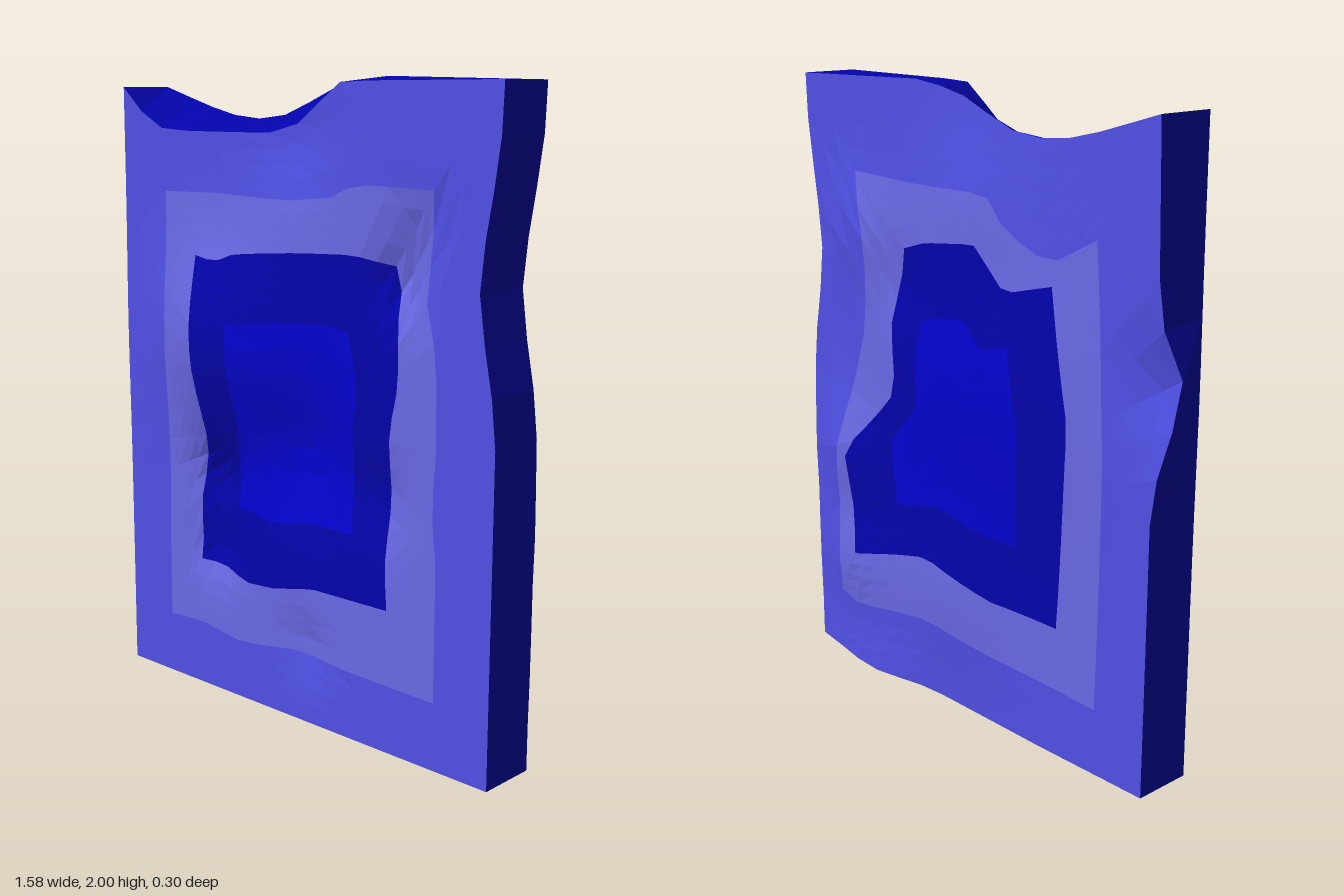
import * as THREE from 'three';

const N = 14; // segments along each side of a ring

// Rings run clockwise from the top left corner: top, right, bottom, left.
const frontOuter = [
  [[-.73, 1.968], [-.59, 1.845], [-.46, 1.835], [-.03, 1.835], [.1, 1.91], [.22, 1.985], [.787, 1.987]],
  [[.787, 1.987], [.78, 1.8], [.745, 1.62], [.72, 1.45], [.75, 1.25], [.787, 1.08], [.787, .027]],
  [[.787, .027], [-.73, .027]],
  [[-.73, .027], [-.73, 1.968]],
];
const backOuter = [
  [[-.73, 1.968], [-.6, 1.93], [-.46, 1.89], [-.33, 1.868], [-.18, 1.885], [.03, 1.97], [.2, 2], [.787, 1.987]],
  frontOuter[1],
  [[.787, .027], [.65, .014], [.5, 0], [.35, .012], [.2, .027], [-.3, .022], [-.73, .027]],
  [[-.73, .027], [-.735, .93], [-.78, 1.1], [-.792, 1.28], [-.745, 1.45], [-.73, 1.968]],
];
const frontBand = [
  [[-.53, 1.645], [-.3, 1.65], [0, 1.64], [.2, 1.66], [.27, 1.7], [.56, 1.695]],
  [[.56, 1.695], [.53, 1.4], [.58, 1.25], [.585, .95], [.57, .8], [.59, .65], [.59, .235]],
  [[.59, .235], [.2, .24], [0, .245], [-.2, .215], [-.4, .24], [-.54, .23]],
  [[-.54, .23], [-.54, .55], [-.53, .9], [-.52, 1.25], [-.53, 1.645]],
];
const frontInner = [
  [[-.37, 1.455], [-.28, 1.44], [-.2, 1.47], [.05, 1.49], [.27, 1.5], [.4, 1.475]],
  [[.4, 1.475], [.44, 1.28], [.445, 1.15], [.41, 1], [.4, .6], [.41, .47]],
  [[.41, .47], [.1, .465], [-.05, .43], [-.18, .42], [-.3, .45], [-.4, .45]],
  [[-.4, .45], [-.4, .7], [-.35, .9], [-.37, 1.1], [-.37, 1.455]],
];
const backBand = [
  [[-.52, 1.62], [-.345, 1.53], [-.18, 1.6], [-.1, 1.7], [.25, 1.69], [.53, 1.7]],
  [[.53, 1.7], [.475, 1.47], [.5, 1.2], [.58, .96], [.65, .74], [.65, .24]],
  [[.65, .24], [.55, .22], [.19, .28], [-.1, .25], [-.54, .235]],
  [[-.54, .235], [-.56, 1], [-.54, 1.4], [-.52, 1.62]],
];
const backInner = [
  [[-.36, 1.47], [-.18, 1.425], [-.055, 1.55], [.18, 1.52], [.29, 1.487]],
  [[.29, 1.487], [.355, 1.26], [.34, 1.02], [.59, .77], [.55, .41]],
  [[.55, .41], [.19, .5], [-.1, .44], [-.38, .44]],
  [[-.38, .44], [-.43, 1.08], [-.39, 1.3], [-.36, 1.47]],
];

// Bumps and dents: x, y, height along z, radius
const frontBumps = [[-.27, 1.2, .068, .27], [0, 1.84, -.035, .15], [.43, 1.43, -.05, .09], [.49, 1.56, -.03, .09],
  [.36, .8, -.025, .12], [-.32, .75, -.045, .12], [-.32, .52, -.035, .11], [.08, .27, -.02, .1], [.05, .86, -.045, .2]];
const backBumps = [[-.05, 1.15, -.046, .4], [.58, .75, -.036, .17], [.56, .38, -.034, .17], [.5, 0, -.022, .2],
  [-.02, 1.66, -.024, .2], [-.79, 1.25, .05, .13], [.52, 1.52, -.025, .15], [.3, 1.37, .02, .1], [.1, .4, -.028, .25]];
const relief = (base, bumps) => (x, y) => bumps.reduce(
  (z, [bx, by, h, r]) => z + h * Math.exp(-((x - bx) ** 2 + (y - by) ** 2) / (r * r)), base);
const frontZ = relief(.087, frontBumps);
const backZ = relief(-.102, backBumps);

// Sample each side of a ring evenly
function sample(sides) {
  return sides.flatMap((side) => {
    const path = new THREE.CurvePath();
    for (let i = 1; i < side.length; i++) {
      path.add(new THREE.LineCurve(new THREE.Vector2(...side[i - 1]), new THREE.Vector2(...side[i])));
    }
    return Array.from({ length: N }, (_, i) => path.getPointAt(i / N));
  });
}
const blend = (a, b, t) => a.map((p, i) => p.clone().lerp(b[i], t));
const lift = (ring, z) => ring.map((p) => new THREE.Vector3(p.x, p.y, z(p.x, p.y)));

// Join successive rings with quads
function loft(rings, flip) {
  const pos = [];
  const tri = (a, b, c) => (flip ? [a, c, b] : [a, b, c]).forEach((p) => pos.push(p.x, p.y, p.z));
  for (let k = 1; k < rings.length; k++) {
    const a = rings[k - 1], b = rings[k];
    a.forEach((p, i) => {
      const j = (i + 1) % a.length;
      tri(p, b[i], b[j]);
      tri(p, b[j], a[j]);
    });
  }
  const g = new THREE.BufferGeometry();
  g.setAttribute('position', new THREE.Float32BufferAttribute(pos, 3));
  g.computeVertexNormals();
  return g;
}

export function createModel() {
  const group = new THREE.Group();
  const material = (name, color) => {
    const m = new THREE.MeshStandardMaterial({ color, flatShading: true });
    m.name = name;
    return m;
  };
  const border = material('periwinkle blue', 0x5858fa);
  const band = material('pale blue', 0x7070f4);
  const deep = material('deep blue', 0x0404ac);
  const bright = material('bright blue', 0x0404d2);
  const add = (name, geometry, mat) => {
    const mesh = new THREE.Mesh(geometry, mat);
    mesh.name = name;
    group.add(mesh);
  };

  // Each face is a border, a band, a panel and a brighter core
  const face = (name, outlines, z, flip) => {
    const [o, m, c] = outlines.map(sample);
    const middle = c.map(() => new THREE.Vector2(.04, .97));
    const core = blend(c, middle, .4);
    const zone = (part, from, to, mat) => {
      const rings = [0, .25, .5, .75, 1].map((t) => lift(blend(from, to, t), z));
      add(name + part, loft(rings, flip), mat);
    };
    zone('Border', o, m, border);
    zone('Band', m, c, band);
    zone('Panel', c, core, deep);
    zone('Core', core, middle, bright);
    return lift(o, z);
  };
  const frontEdge = face('front', [frontOuter, frontBand, frontInner], frontZ, false);
  const backEdge = face('back', [backOuter, backBand, backInner], backZ, true);

  // Edge wall around the slab
  add('edge', loft([backEdge, frontEdge], false), deep);
  return group;
}
